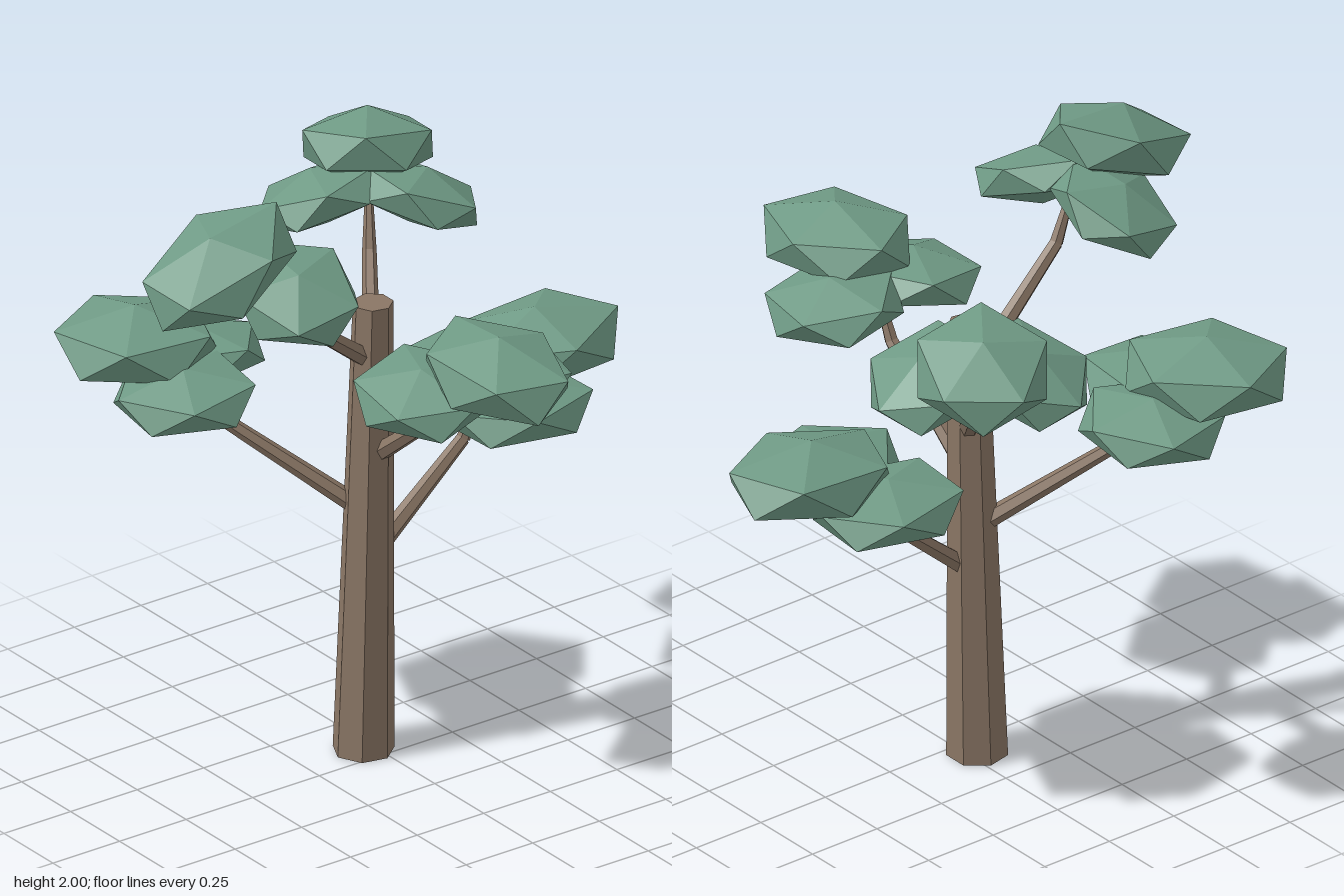
import * as THREE from 'three';

const bark = new THREE.MeshStandardMaterial({ color: 0x8a7665, flatShading: true });
bark.name = 'bark';
const leaf = new THREE.MeshStandardMaterial({ color: 0x6f9a85, flatShading: true });
leaf.name = 'leaf green';

const UP = new THREE.Vector3(0, 1, 0);
const vec = (x, y, z = 0) => new THREE.Vector3(x, y, z);

// tapered limb between two points
function limb(name, a, b, r0, r1) {
  const dir = b.clone().sub(a);
  const mesh = new THREE.Mesh(new THREE.CylinderGeometry(r1, r0, dir.length(), 6), bark);
  mesh.position.copy(a).addScaledVector(dir, 0.5);
  mesh.quaternion.setFromUnitVectors(UP, dir.normalize());
  mesh.name = name;
  return mesh;
}

// flattened icosahedron standing on a corner, drooping away from the branch bend
function leafClump(name, bend, centre, half, droop, spin) {
  const geo = new THREE.IcosahedronGeometry(1, 0);
  geo.rotateX(-Math.atan2((1 + Math.sqrt(5)) / 2, 1));
  geo.rotateY(spin);
  geo.scale(half.x / 0.89, half.y, half.z / 0.89);
  const out = centre.clone().sub(bend).setY(0).normalize();
  geo.applyMatrix4(new THREE.Matrix4().makeRotationAxis(UP.clone().cross(out), droop));
  const mesh = new THREE.Mesh(geo, leaf);
  mesh.position.copy(centre);
  mesh.name = name;
  return mesh;
}

// one bough growing along its own +x, turned about the trunk by angle (degrees)
function bough(name, { angle, root, knee, reach, length, width, side, droop }) {
  const group = new THREE.Group();
  group.name = name;
  group.rotation.y = -THREE.MathUtils.degToRad(angle);
  const bend = vec(reach, knee);
  const tip = vec(reach + 0.06, knee + 0.13);
  group.add(limb('lowerBranch', vec(0, root), bend, 0.032, 0.022));
  group.add(limb('upperBranch', bend, tip, 0.022, 0.014));

  // crown clump at the end, two side clumps mirrored below it
  const crown = vec(reach + length, knee + 0.248);
  group.add(leafClump('crownLeaves', bend, crown, vec(length, 0.118, width), droop, angle));
  for (const s of [-1, 1]) {
    const centre = vec(reach + 0.09, knee + 0.145, s * 0.15);
    group.add(leafClump('sideLeaves', bend, centre, vec(side, 0.09, 0.2), droop + 0.08, angle + s));
  }
  return group;
}

export function createModel() {
  const tree = new THREE.Group();
  tree.name = 'tree';

  // leaning seven-sided trunk
  const trunkGeo = new THREE.CylinderGeometry(0.063, 0.096, 1.5, 7);
  trunkGeo.rotateY(-Math.PI / 2);
  trunkGeo.translate(0, 0.75, 0);
  trunkGeo.applyMatrix4(new THREE.Matrix4().makeShear(0, 0, 0.024, 0, 0, 0));
  const trunk = new THREE.Mesh(trunkGeo, bark);
  trunk.name = 'trunk';
  trunk.position.x = -0.035;
  tree.add(trunk);

  // boughs spiral up the trunk, drooping more with height
  tree.add(
    bough('leftBough', { angle: 0, root: 0.65, knee: 0.94, reach: 0.34, length: 0.275, width: 0.21, side: 0.245, droop: -0.06 }),
    bough('frontBough', { angle: 90, root: 0.98, knee: 1.275, reach: 0.37, length: 0.265, width: 0.2, side: 0.22, droop: 0.08 }),
    bough('topBough', { angle: 170.5, root: 1.3, knee: 1.61, reach: 0.4, length: 0.265, width: 0.19, side: 0.19, droop: 0.36 }),
    bough('backRightBough', { angle: 220.5, root: 0.78, knee: 1.1, reach: 0.47, length: 0.25, width: 0.23, side: 0.22, droop: 0.02 }),
    bough('backLeftBough', { angle: 305, root: 1.13, knee: 1.46, reach: 0.43, length: 0.23, width: 0.205, side: 0.21, droop: 0.3 }),
  );
  for (const part of tree.children) part.position.z = -0.067;
  return tree;
}
